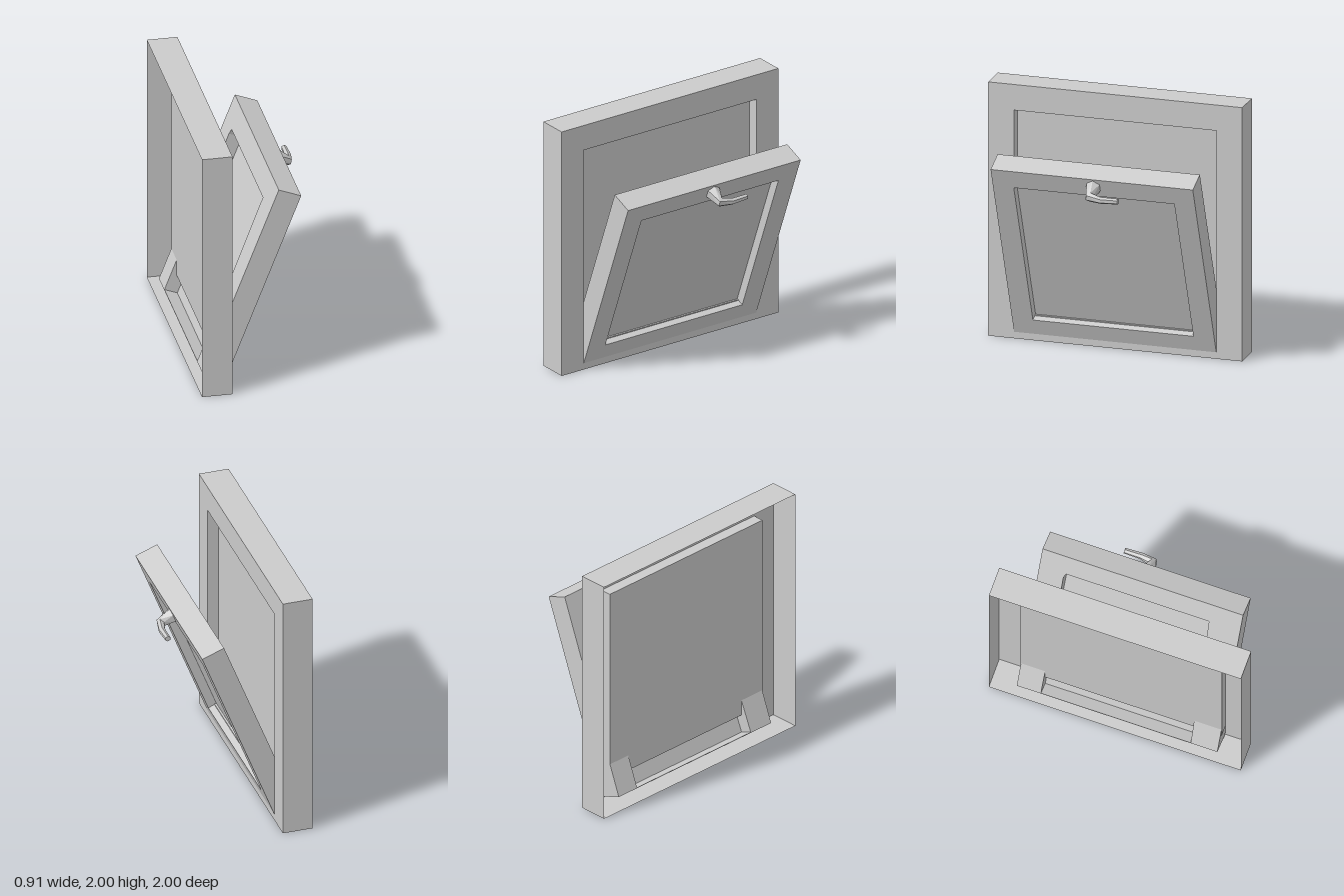
import * as THREE from 'three';

const grey = new THREE.MeshStandardMaterial({ color: 0xcccccc, flatShading: true });
const greyOpen = new THREE.MeshStandardMaterial({ color: 0xcccccc, flatShading: true, side: THREE.DoubleSide });

function addMesh(parent, name, geometry, material = grey) {
  const mesh = new THREE.Mesh(geometry, material);
  mesh.name = name;
  parent.add(mesh);
}

// Joins rings of points into a faceted skin and closes the last ring
function loft(rings) {
  const pos = [];
  const tri = (...pts) => pts.forEach((p) => pos.push(p.x, p.y, p.z));
  const n = rings[0].length;
  for (let r = 0; r < rings.length - 1; r++) {
    const a = rings[r], b = rings[r + 1];
    for (let i = 0; i < n; i++) {
      const j = (i + 1) % n;
      tri(a[i], a[j], b[j]);
      tri(a[i], b[j], b[i]);
    }
  }
  const end = rings[rings.length - 1];
  for (let i = 1; i < n - 1; i++) tri(end[0], end[i], end[i + 1]);
  const g = new THREE.BufferGeometry();
  g.setAttribute('position', new THREE.Float32BufferAttribute(pos, 3));
  g.computeVertexNormals();
  return g;
}

// Rectangle in the plane x, inset from the 2 x 2 outline
function rectRing(x, inset) {
  const h = 1 - inset;
  return [[-h, -h], [h, -h], [h, h], [-h, h]].map(([y, z]) => new THREE.Vector3(x, 1 + y, z));
}

// Hexagon around a centre, facing along a direction
function hexRing([center, direction, radius]) {
  const c = new THREE.Vector3(...center);
  const n = new THREE.Vector3(...direction).normalize();
  const u = new THREE.Vector3(0, 1, 0).cross(n).normalize();
  const v = n.clone().cross(u);
  return Array.from({ length: 6 }, (_, i) => {
    const a = Math.PI / 2 + (i * Math.PI) / 3;
    return c.clone().addScaledVector(u, Math.cos(a) * radius).addScaledVector(v, Math.sin(a) * radius);
  });
}

// Upright slab with a hole; points are [z, y], thickness runs along +x.
// The outline runs counterclockwise and the hole clockwise, seen from +x.
function slab(outline, hole, depth, x) {
  const toPoints = (pts) => pts.map(([z, y]) => new THREE.Vector2(-z, y));
  const shape = new THREE.Shape(toPoints(outline));
  shape.holes.push(new THREE.Path(toPoints(hole)));
  return new THREE.ExtrudeGeometry(shape, { depth, bevelEnabled: false })
    .rotateY(Math.PI / 2).translate(x, 0, 0);
}

export function createModel() {
  const model = new THREE.Group();
  model.name = 'tiltWindow';

  // Outer frame: open-backed shell with a shallow recess in its front
  addMesh(model, 'outerFrame', loft([
    rectRing(-0.46, 0), rectRing(-0.226, 0), rectRing(-0.226, 0.202), rectRing(-0.315, 0.202),
  ]), greyOpen);

  // Tilted sash, pivoting at its lower edge
  const sash = new THREE.Group();
  sash.name = 'sash';
  sash.position.set(-0.41, 0.086, 0);
  sash.rotation.z = -0.372;
  model.add(sash);

  const outline = [[0.796, 0], [-0.796, 0], [-0.796, 1.598], [0.796, 1.598]];
  const frontHole = [[-0.632, 0.168], [0.632, 0.168], [0.632, 1.442], [-0.632, 1.442]];
  const backHole = [[-0.605, 0.004], [0.585, 0.004], [0.55, 1.406], [-0.585, 1.406], [-0.6, 1.36]];
  addMesh(sash, 'sashFrontRim', slab(outline, frontHole, 0.07, 0.114));
  addMesh(sash, 'sashBackRim', slab(outline, backHole, 0.114, 0));
  addMesh(sash, 'pane', new THREE.BoxGeometry(0.008, 1.59, 1.58).translate(0.11, 0.799, 0));

  // Handle: tapering hexagonal lever that bends sideways
  addMesh(model, 'handle', loft([
    [[0.315, 1.442, -0.005], [0.93, -0.363, 0], 0.06],
    [[0.41, 1.392, -0.008], [0.7, -0.25, -0.6], 0.038],
    [[0.43, 1.382, -0.1], [0.08, 0, -1], 0.026],
    [[0.427, 1.385, -0.235], [0, 0, -1], 0.022],
  ].map(hexRing)), greyOpen);

  return model;
}
